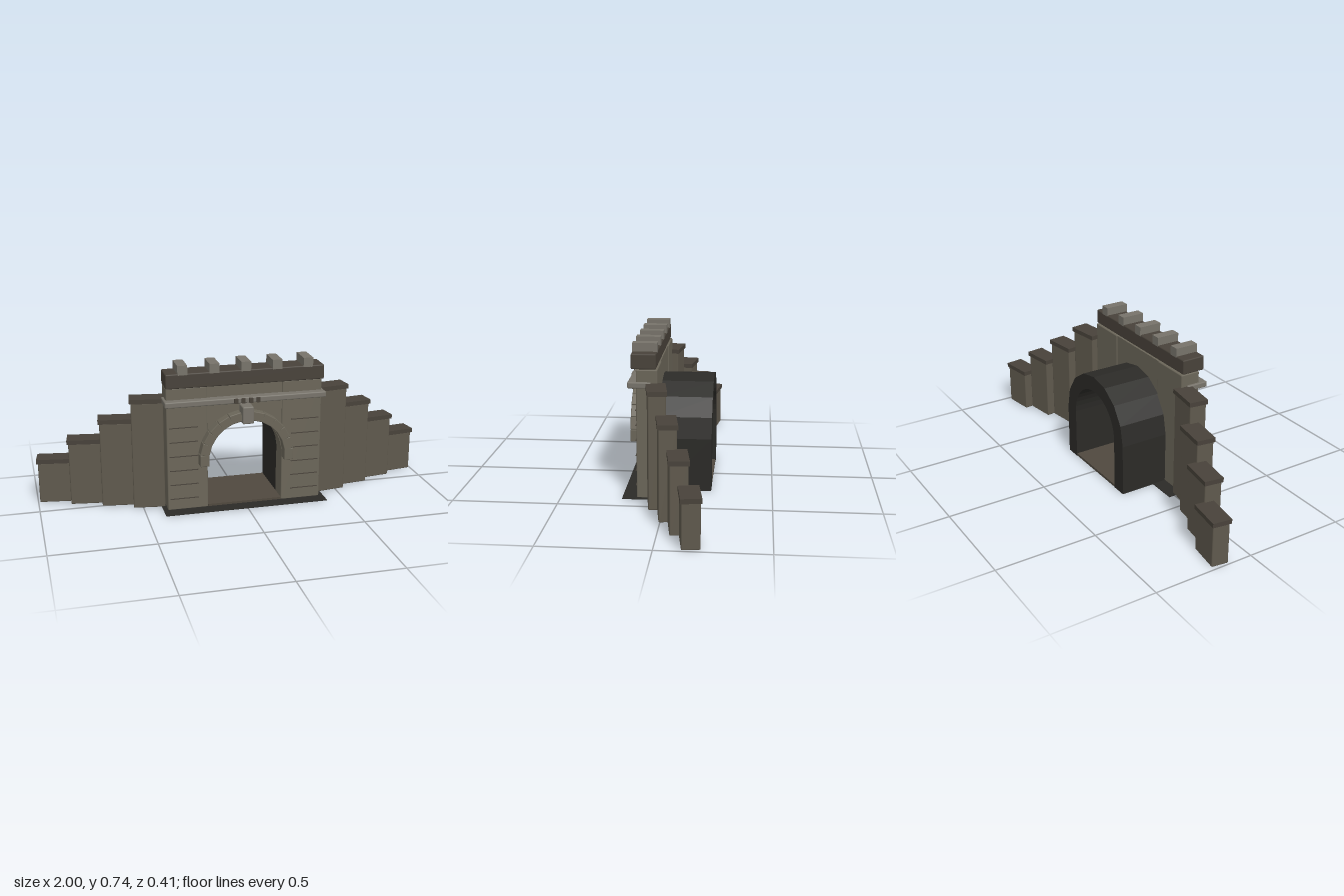
import * as THREE from 'three';
import { RoundedBoxGeometry } from 'three/addons/geometries/RoundedBoxGeometry.js';

const mat = (color) => new THREE.MeshStandardMaterial({ color });

export function createModel() {
  const model = new THREE.Group();
  const stone = mat(0x6b6659), wallStone = mat(0x5f594d), capStone = mat(0x48423a);
  const light = mat(0x77736a), dark = mat(0x2b2a27), floorStone = mat(0x4f483e);

  function add(name, geometry, material, x = 0, y = 0, z = 0, parent = model) {
    const mesh = new THREE.Mesh(geometry, material);
    mesh.name = name;
    mesh.position.set(x, y, z);
    parent.add(mesh);
    return mesh;
  }
  // Box given by its extents, with a small bevel when b > 0
  function block(name, material, [x0, x1], [y0, y1], [z0, z1], b = 0, parent = model) {
    const s = [x1 - x0, y1 - y0, z1 - z0];
    const g = b ? new RoundedBoxGeometry(...s, 1, b) : new THREE.BoxGeometry(...s);
    return add(name, g, material, (x0 + x1) / 2, (y0 + y1) / 2, (z0 + z1) / 2, parent);
  }

  const SPRING = 0.26, R = 0.187;
  // Points on a half circle, from right to left over the top
  const arc = (r, n) => Array.from({ length: n + 1 }, (_, i) =>
    new THREE.Vector2(r * Math.cos(Math.PI * i / n), SPRING + r * Math.sin(Math.PI * i / n)));
  const V = (x, y) => new THREE.Vector2(x, y);

  // Wall above the opening
  const spandrel = new THREE.Shape([
    V(-0.192, SPRING), V(-0.192, 0.62), V(0.192, 0.62), V(0.192, SPRING), ...arc(R, 28)]);
  add('archWall', new THREE.ExtrudeGeometry(spandrel, { depth: 0.09, bevelEnabled: false }),
    stone, 0, 0, 0.045);

  // Faceted tunnel behind the wall
  const tunnel = new THREE.Shape([
    V(0.265, 0), ...arc(0.265, 8), V(-0.265, 0), V(-R, 0), ...arc(R, 20).reverse(), V(R, 0)]);
  add('tunnel', new THREE.ExtrudeGeometry(tunnel, { depth: 0.256, bevelEnabled: false }),
    dark, 0, 0, -0.206);
  block('tunnelFloor', floorStone, [-R, R], [0.001, 0.014], [-0.205, 0.14]);
  block('groundSlab', dark, [-0.41, 0.41], [0, 0.003], [-0.03, 0.208]);

  // Stepped wing walls: centre x, centre z, top of cap
  const wings = [[0.464, 0.038, 0.56], [0.611, -0.024, 0.45], [0.76, -0.086, 0.338], [0.909, -0.148, 0.228]];

  for (const side of [1, -1]) {
    const label = side > 0 ? 'left' : 'right';
    const span = (a, b) => side > 0 ? [a, b] : [-b, -a];

    block(label + 'Pier', stone, span(R, 0.388), [0, 0.622], [0.04, 0.14], 0.005);
    // Raised course lines on the pier face
    for (let i = 0; i < 6; i++) {
      const y = 0.059 + 0.073 * i;
      block(label + 'CourseLine', capStone, span(0.235, 0.375), [y - 0.0015, y + 0.0015], [0.138, 0.146]);
    }

    wings.forEach(([x, z, top], i) => {
      const wing = new THREE.Group();
      wing.name = `${label}WingWall${i + 1}`;
      wing.position.set(side * x, 0, z);
      wing.rotation.y = side * 0.14;
      model.add(wing);
      block('wingPanel', wallStone, [-0.078, 0.078], [0, top - 0.02], [-0.041, 0.041], 0.005, wing);
      block('wingCap', capStone, [-0.085, 0.085], [top - 0.022, top], [-0.046, 0.046], 0, wing);
    });
  }

  // Ring of arch stones, with the keystone in the middle place
  const step = Math.PI / 12;
  for (let i = 0; i <= 12; i++) {
    if (i === 6) continue;
    const a = i * step, r = 0.211;
    const v = add('archStone', new RoundedBoxGeometry(0.046, 0.06, 0.05, 1, 0.004), stone,
      r * Math.cos(a), SPRING + r * Math.sin(a), 0.163);
    v.rotation.z = a;
  }
  block('keystone', light, [-0.028, 0.028], [0.438, 0.524], [0.13, 0.208], 0.006);

  // Cornice with small plates
  block('cornice', light, [-0.4, 0.4], [0.536, 0.565], [0.07, 0.18], 0.006);
  for (const x of [-0.055, -0.019, 0.019, 0.055]) {
    block('cornicePlate', capStone, [x - 0.009, x + 0.009], [0.539, 0.562], [0.175, 0.19]);
  }

  // Parapet and merlons
  block('parapet', capStone, [-0.392, 0.392], [0.625, 0.697], [0.046, 0.163], 0.006);
  for (let i = -2; i <= 2; i++) {
    const x = i * 0.155;
    block('merlon', light, [x - 0.024, x + 0.024], [0.69, 0.737], [0.046, 0.163]);
  }
  return model;
}
